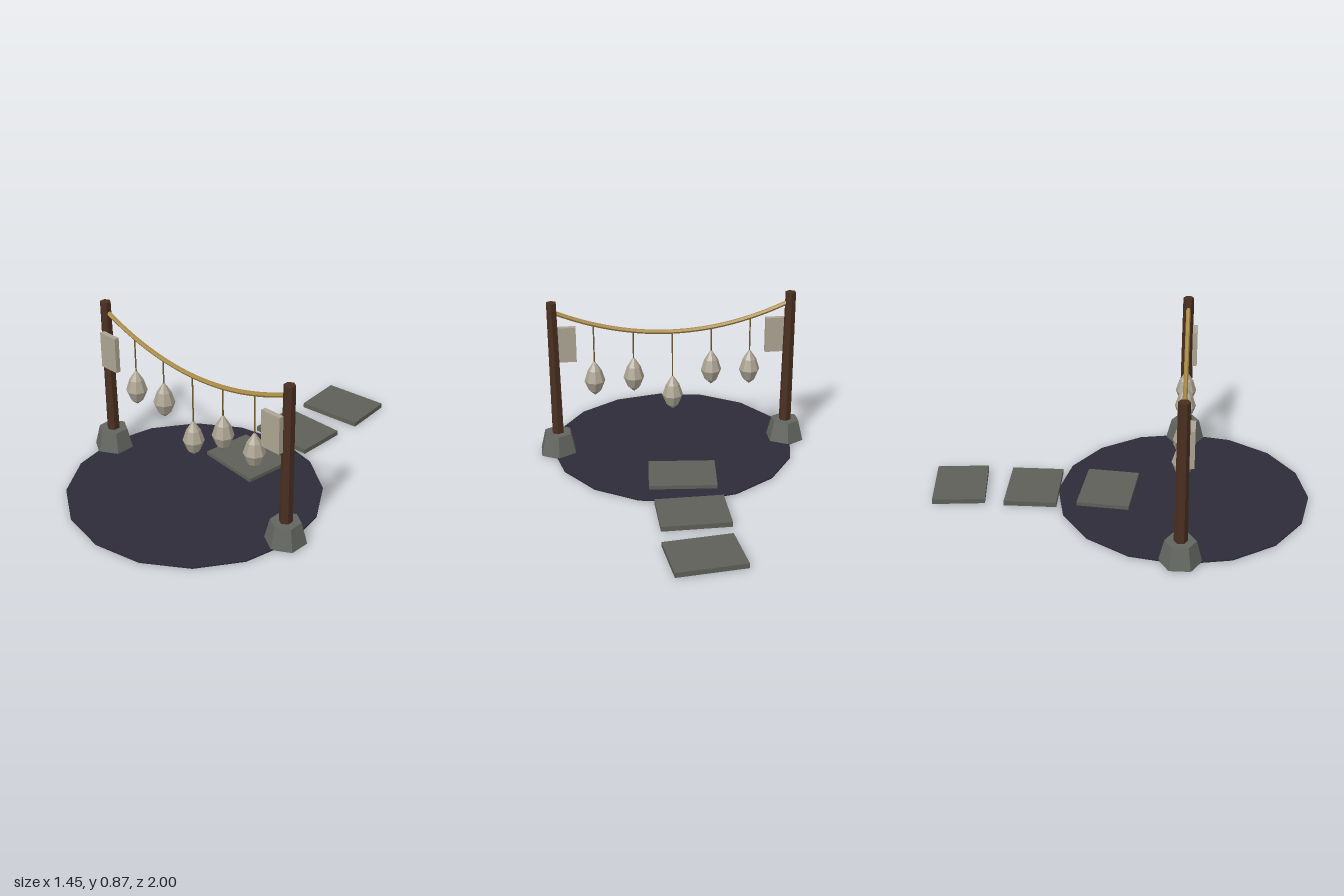
import * as THREE from 'three';

const Z = 0.334; // depth of the gate line and the disc centre
const mat = (color) => new THREE.MeshStandardMaterial({ color, flatShading: true });

export function createModel() {
  const model = new THREE.Group();
  const add = (name, geometry, material, x = 0, y = 0, z = 0) => {
    const mesh = new THREE.Mesh(geometry, material);
    mesh.name = name;
    mesh.position.set(x, y, z);
    model.add(mesh);
    return mesh;
  };
  const ground = mat(0x2d2b38), slate = mat(0x5f6058), footing = mat(0x636660), wood = mat(0x4a2f20);
  const ropeMat = mat(0xa98b46), cord = mat(0x6e5c30), paper = mat(0xaca493);

  // Thin sixteen-sided ground disc
  add('groundDisc', new THREE.CylinderGeometry(0.66, 0.66, 0.007, 16), ground, 0, 0.0065, Z);

  // Stepping stones leading in from the back
  [[-0.061, -0.1], [-0.457, 0], [-0.85, 0.1]].forEach(([z, turn]) => {
    add('steppingStone', new THREE.BoxGeometry(0.354, 0.026, 0.275), slate, 0, 0.017, z).rotation.y = turn;
  });

  // Posts leaning slightly outwards, with footings and plaques
  for (const side of [-1, 1]) {
    add('postFooting', new THREE.CylinderGeometry(0.078, 0.107, 0.115, 6), footing, side * 0.63, 0.0625, Z);
    add('post', new THREE.CylinderGeometry(0.029, 0.035, 0.865, 6), wood, side * 0.632, 0.4328, Z)
      .rotation.z = -side * 0.009;
    add('plaque', new THREE.BoxGeometry(0.114, 0.195, 0.027), paper, side * 0.569, 0.612, 0.375);
  }

  // Sagging rope between the posts
  const ropeY = (x) => 0.672 + 0.138 * (x / 0.625) ** 2;
  const points = [];
  for (let i = 0; i <= 12; i++) {
    const x = -0.625 + (1.25 * i) / 12;
    points.push(new THREE.Vector3(x, ropeY(x), Z));
  }
  add('rope', new THREE.TubeGeometry(new THREE.CatmullRomCurve3(points), 24, 0.012, 6), ropeMat);

  // Hanging faceted lanterns, listed by the height of their lower tip
  const profile = [[0, 0], [0.034, 0.03], [0.056, 0.085], [0.037, 0.146], [0.005, 0.194], [0, 0.195]]
    .map(([r, y]) => new THREE.Vector2(r, y));
  [0.348, 0.357, 0.22, 0.338, 0.328].forEach((bottom, i) => {
    const x = (i - 2) * 0.21;
    const top = bottom + 0.19;
    const length = ropeY(x) - top;
    add('lanternCord', new THREE.CylinderGeometry(0.004, 0.004, length, 5), cord, x, top + length / 2, Z);
    add('lantern', new THREE.LatheGeometry(profile, 8), paper, x, bottom, Z);
  });

  return model;
}
